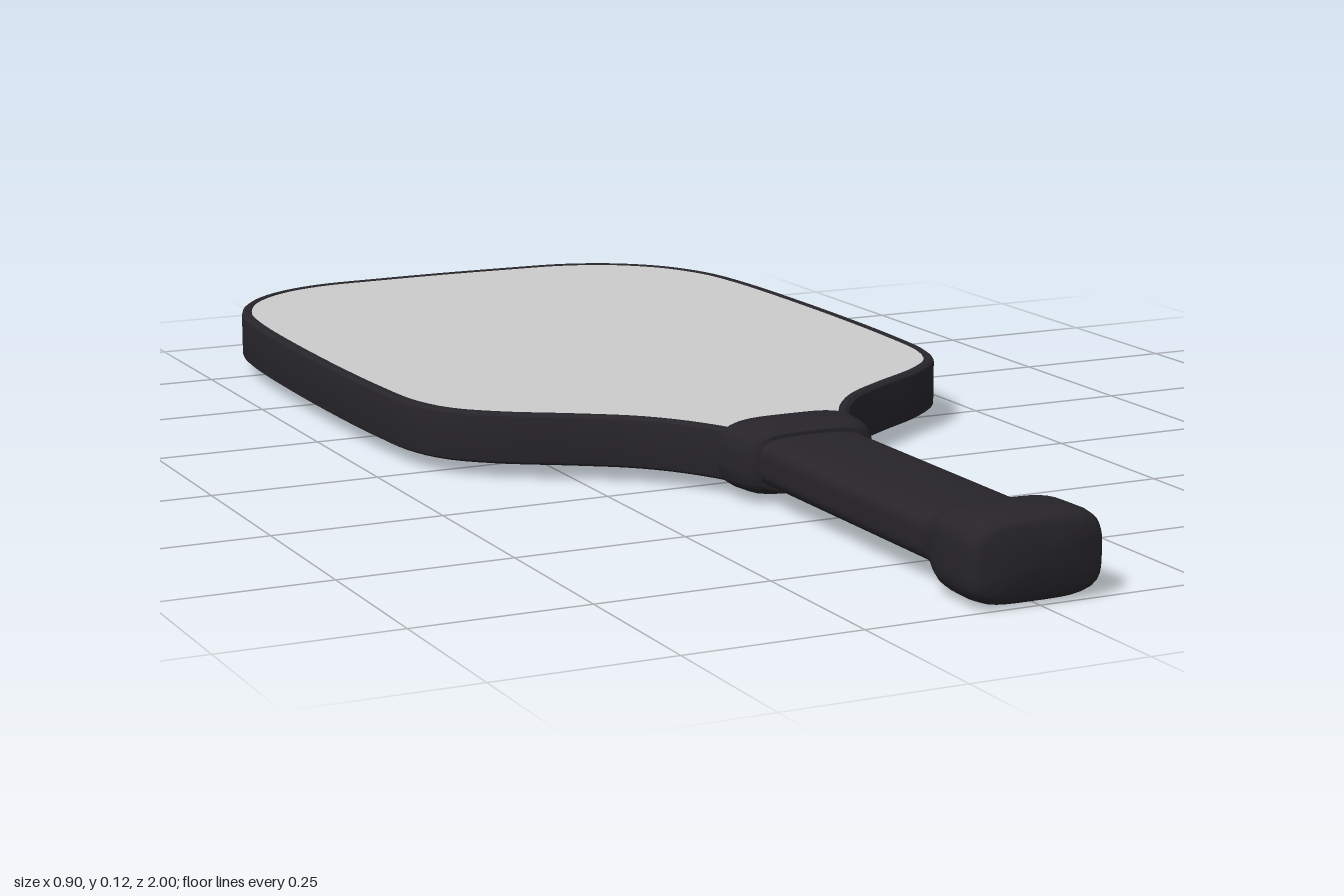
import * as THREE from 'three';
import { toCreasedNormals } from 'three/addons/utils/BufferGeometryUtils.js';

const MID = 0.061; // height of the paddle's middle plane

// Skin a list of closed rings, each with the same number of points
function loft(rings, crease) {
  const n = rings[0].length;
  const index = [];
  for (let i = 0; i < rings.length - 1; i++) {
    for (let j = 0; j < n; j++) {
      const k = (j + 1) % n;
      const a = i * n + j, b = i * n + k, c = a + n, d = b + n;
      index.push(a, b, d, a, d, c);
    }
  }
  const geometry = new THREE.BufferGeometry().setFromPoints(rings.flat());
  geometry.setIndex(index);
  return toCreasedNormals(geometry, crease);
}

// Rounded-rectangle ring across the handle
function handleRing([z, halfWidth, halfHeight]) {
  const ring = [];
  for (let j = 0; j < 48; j++) {
    const t = (j / 48) * Math.PI * 2;
    const c = Math.cos(t), s = Math.sin(t);
    const r = 1 / Math.pow(c ** 4 + s ** 4, 0.25);
    ring.push(new THREE.Vector3(halfWidth * c * r, halfHeight * s * r, z));
  }
  return ring;
}

// Half of the blade outline as [x, z], mirrored into a closed curve
const half = [
  [0.12, -0.997], [0.23, -0.989], [0.315, -0.955], [0.385, -0.89], [0.428, -0.8],
  [0.444, -0.7], [0.452, -0.43], [0.446, -0.16], [0.434, -0.04], [0.405, 0.03],
  [0.35, 0.085], [0.255, 0.147], [0.185, 0.198], [0.14, 0.25], [0.105, 0.31], [0.085, 0.35],
];
const outline = new THREE.CatmullRomCurve3([
  [0, -1], ...half, ...half.map(([x, z]) => [-x, z]).reverse(),
].map(([x, z]) => new THREE.Vector3(x, 0, z)), true, 'centripetal');

// Outline moved inwards by a distance and placed at a height
function outlineRing(inset, y) {
  const ring = [];
  for (let j = 0; j < 160; j++) {
    const p = outline.getPointAt(j / 160);
    const t = outline.getTangentAt(j / 160);
    ring.push(new THREE.Vector3(p.x - t.z * inset, y, p.z + t.x * inset));
  }
  return ring;
}

export function createModel() {
  const group = new THREE.Group();
  const black = new THREE.MeshStandardMaterial({ color: 0x27252a });
  const grey = new THREE.MeshStandardMaterial({ color: 0xcccccc });

  const add = (name, geometry, material) => {
    const mesh = new THREE.Mesh(geometry, material);
    mesh.name = name;
    mesh.position.y = MID;
    group.add(mesh);
  };

  // Flat hitting surfaces, a slab inside the edge guard
  const slab = new THREE.Shape(outlineRing(0.014, 0).map((p) => new THREE.Vector2(p.x, -p.z)));
  const blade = new THREE.ExtrudeGeometry(slab, { depth: 0.072, bevelEnabled: false });
  blade.rotateX(-Math.PI / 2).translate(0, -0.036, 0);
  add('blade', blade, grey);

  // Bevelled edge guard around the blade
  const top = [[0.017, 0.035], [0.015, 0.0375], [0.006, 0.0375], [0.001, 0.034], [0, 0.03]];
  const section = [...top, ...top.map(([d, y]) => [d, -y]).reverse()];
  add('edgeGuard', loft(section.map(([d, y]) => outlineRing(d, y)), 0.6), black);

  // Handle parts as [z, half width, half height] along the length
  const handle = {
    collar: [
      [0.312, 0, 0], [0.312, 0.102, 0.045], [0.318, 0.109, 0.05], [0.335, 0.109, 0.051],
      [0.37, 0.103, 0.051], [0.388, 0.098, 0.047], [0.395, 0.09, 0.041], [0.397, 0, 0],
    ],
    grip: [[0.36, 0, 0], [0.36, 0.083, 0.036], [0.9, 0.083, 0.036], [0.9, 0, 0]],
    buttCap: [
      [0.855, 0, 0], [0.855, 0.084, 0.037], [0.868, 0.086, 0.041], [0.885, 0.092, 0.051],
      [0.902, 0.096, 0.057], [0.92, 0.097, 0.059], [0.965, 0.099, 0.059],
      [0.985, 0.097, 0.057], [0.996, 0.092, 0.052], [1, 0.084, 0.045], [1, 0, 0],
    ],
  };
  for (const [name, rings] of Object.entries(handle)) {
    add(name, loft(rings.map(handleRing), 0.7), black);
  }

  return group;
}
